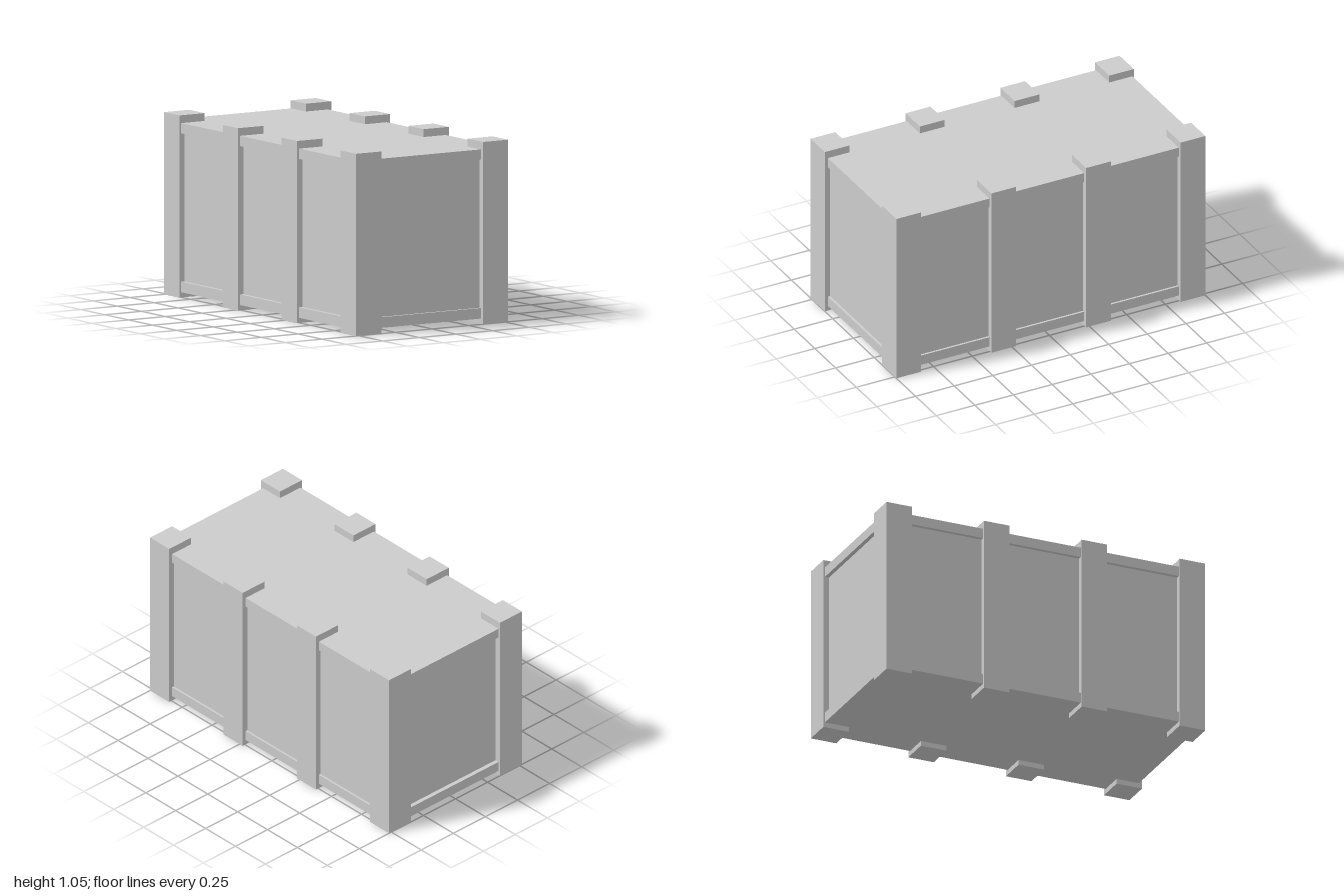
import * as THREE from 'three';

const material = new THREE.MeshStandardMaterial({ color: 0xcccccc, flatShading: true });

// Box given by its lower and upper limits on each axis
function addBox(parent, name, [x0, x1], [y0, y1], [z0, z1]) {
  const mesh = new THREE.Mesh(new THREE.BoxGeometry(x1 - x0, y1 - y0, z1 - z0), material);
  mesh.position.set((x0 + x1) / 2, (y0 + y1) / 2, (z0 + z1) / 2);
  mesh.name = name;
  parent.add(mesh);
}

export function createModel() {
  const crate = new THREE.Group();
  crate.name = 'crate';

  // Recessed side panels form the core between the two slabs
  addBox(crate, 'sidePanels', [-0.482, 0.482], [0.09, 0.947], [-0.965, 0.965]);

  // Floor and lid overhang the panels, sitting slightly off centre
  const slabX = [-0.505, 0.495];
  const slabZ = [-0.99, 0.98];
  addBox(crate, 'floorSlab', slabX, [0.03, 0.091], slabZ);
  addBox(crate, 'lidSlab', slabX, [0.946, 1.005], slabZ);

  // Four upright posts along each long side
  const posts = new THREE.Group();
  posts.name = 'posts';
  crate.add(posts);
  for (const side of [-1, 1]) {
    for (const z of [-0.92, -0.308, 0.305, 0.92]) {
      const x = side * 0.432;
      const name = Math.abs(z) > 0.5 ? 'cornerPost' : 'middlePost';
      addBox(posts, name, [x - 0.086, x + 0.086], [0, 1.05], [z - 0.08, z + 0.08]);
    }
  }
  return crate;
}
